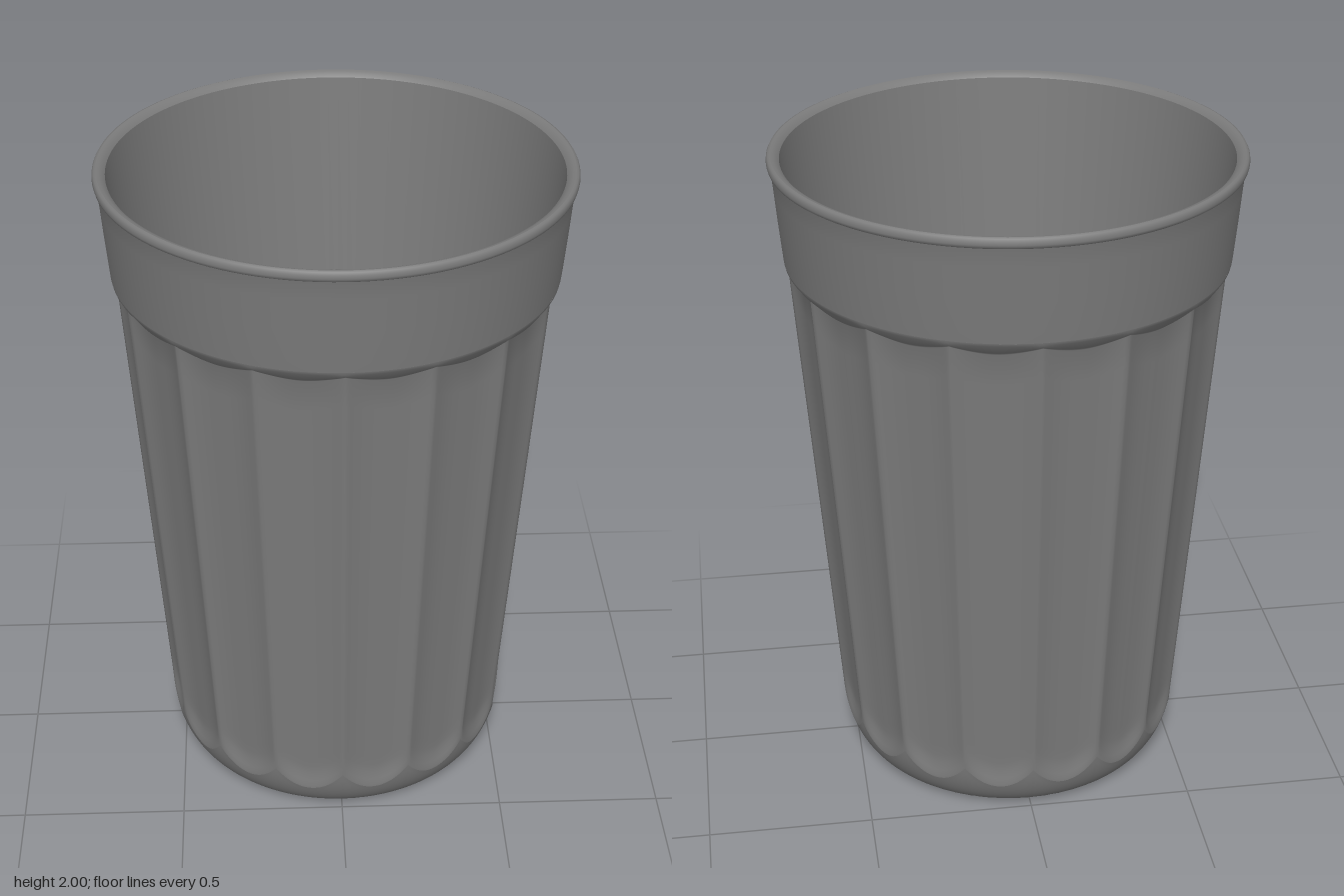
import * as THREE from 'three';

const FLUTES = 16, KNURLS = 64, SEGMENTS = 384;
const material = new THREE.MeshStandardMaterial({ color: 0x7b7b7b });

// Tapered wall line along the ridges, and the inward curve of the rounded foot.
const wall = (y) => 0.527 + 0.0747 * y;
const footDrop = (y) => (y < 0.17 ? 0.085 * (1 - Math.sqrt(1 - (1 - y / 0.17) ** 2)) : 0);

// Position across a flute: -1 and 1 on the ridges, 0 in the middle.
const across = (angle) => (((angle * FLUTES) / (2 * Math.PI)) % 1) * 2 - 1;

// 0 on a softly rounded ridge, 1 in the middle of a flute.
function hollow(angle) {
  const h = 1 - Math.abs(across(angle)) ** 2.6;
  return (1.07 * h * h) / (h + 0.07);
}
const arch = (angle) => 1 - across(angle) ** 2;
const fluteBottom = (angle) => 0.165 - 0.068 * arch(angle);
const fluteTop = (angle) => 1.658 - 0.03 * arch(angle);

// Closed ring surface, listed bottom to top; point(row, angle) gives [radius, y].
function ringSurface(name, rows, point) {
  const positions = [], index = [];
  for (let i = 0; i < rows; i++) {
    for (let j = 0; j < SEGMENTS; j++) {
      const angle = (j / SEGMENTS) * Math.PI * 2;
      const [r, y] = point(i, angle);
      positions.push(r * Math.sin(angle), y, r * Math.cos(angle));
      if (i === rows - 1) continue;
      const a = i * SEGMENTS + j, b = i * SEGMENTS + ((j + 1) % SEGMENTS);
      index.push(a, b, a + SEGMENTS, b, b + SEGMENTS, a + SEGMENTS);
    }
  }
  const geometry = new THREE.BufferGeometry();
  geometry.setAttribute('position', new THREE.Float32BufferAttribute(positions, 3));
  geometry.setIndex(index);
  geometry.computeVertexNormals();
  const mesh = new THREE.Mesh(geometry, material);
  mesh.name = name;
  return mesh;
}

function lathe(name, points) {
  const profile = points.map(([x, y]) => new THREE.Vector2(x, y));
  const mesh = new THREE.Mesh(new THREE.LatheGeometry(profile, 128), material);
  mesh.name = name;
  return mesh;
}

export function createModel() {
  const cup = new THREE.Group();
  cup.name = 'flutedTumbler';

  // Recessed underside
  cup.add(lathe('undersideDisc', [[0, 0.03], [0.34, 0.03]]));
  cup.add(lathe('undersideSlope', [[0.34, 0.03], [0.365, 0.02], [0.4, 0.014], [0.425, 0.012]]));

  // Foot: knurled standing ring, then a rounded side up to the scalloped edge
  const ring = [[0.425, 0.012, 0], [0.43, 0.005, 0.5], [0.436, 0.001, 1]];
  const footRows = 14;
  cup.add(ringSurface('foot', ring.length + footRows, (i, angle) => {
    const groove = 0.009 * (0.5 - 0.5 * Math.cos(KNURLS * angle));
    if (i < ring.length) return [ring[i][0], ring[i][1] + groove * ring[i][2]];
    const y = fluteBottom(angle) * ((i - ring.length) / (footRows - 1)) ** 2;
    return [wall(y) - footDrop(y), y + groove * Math.max(0, 1 - y / 0.018)];
  }));

  // Concave flutes, easing out of the foot and curling out under the band
  const fluteRows = 26;
  cup.add(ringSurface('flutes', fluteRows + 3, (i, angle) => {
    if (i === fluteRows + 2) return [0.662, 1.68];
    if (i === fluteRows + 1) return [0.66, 1.671];
    const low = fluteBottom(angle), high = fluteTop(angle);
    const t = Math.min(1, i / (fluteRows - 1));
    const y = low + (high - low) * t ** 1.6;
    const depth = 0.041 * wall(y) * hollow(angle);
    const ease = THREE.MathUtils.smoothstep(y - low, 0, 0.07);
    const r = wall(y) - THREE.MathUtils.lerp(footDrop(low), depth, ease);
    // Rounded shoulder between the flute and the band
    if (i === fluteRows) return [r + (0.66 - r) * 0.45, y + (1.671 - y) * 0.3];
    return [r, y];
  }));

  // Plain band and rolled rim
  cup.add(lathe('band', [[0.662, 1.68], [0.665, 1.71], [0.674, 1.81], [0.682, 1.91], [0.685, 1.94], [0.69, 1.968]]));
  cup.add(lathe('rimOutside', [
    [0.69, 1.968], [0.696, 1.972], [0.698, 1.98], [0.697, 1.99], [0.693, 1.997], [0.686, 2],
  ]));
  cup.add(lathe('rimTop', [[0.686, 2], [0.678, 1.998], [0.668, 1.993], [0.66, 1.984]]));

  // Smooth inside wall and flat floor
  cup.add(lathe('insideWall', [[0.66, 1.984], [0.556, 1.04], [0.453, 0.1]]));
  cup.add(lathe('floor', [[0.453, 0.1], [0, 0.1]]));
  return cup;
}
